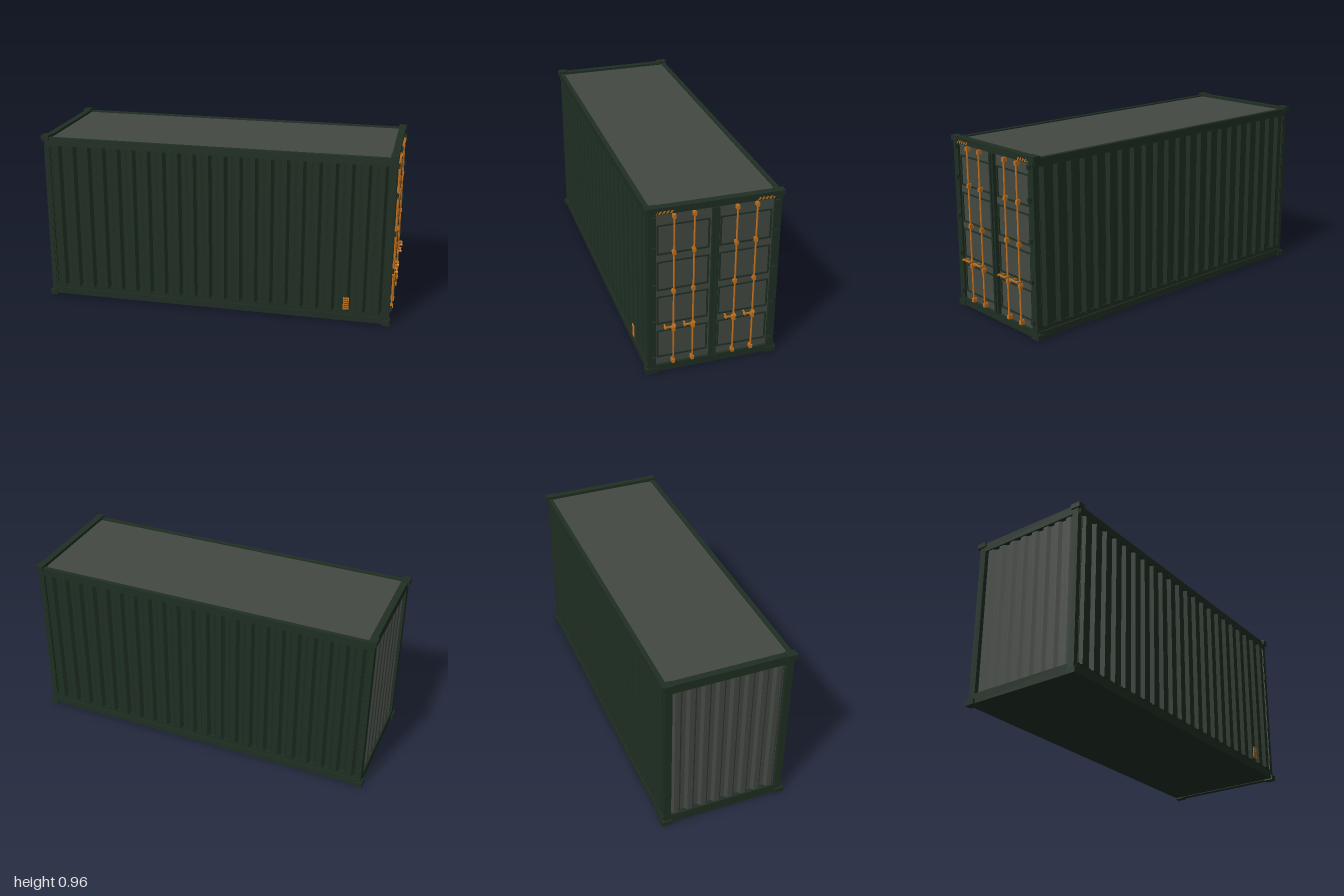
import * as THREE from 'three';

const mat = (name, color) => {
  const m = new THREE.MeshStandardMaterial({ color });
  m.name = name;
  return m;
};

export function createModel() {
  const green = mat('dark green paint', 0x1f2e22);
  const grey = mat('grey panel', 0x434842);
  const orange = mat('orange hardware', 0xc4711c);
  const root = new THREE.Group();
  root.name = 'shippingContainer';

  const add = (name, geo, m, parent = root) => {
    const mesh = new THREE.Mesh(geo, m);
    mesh.name = name;
    parent.add(mesh);
    return mesh;
  };
  // box given by its two extreme corners
  const box = (name, m, x0, x1, y0, y1, z0, z1, parent = root) => {
    const mesh = add(name, new THREE.BoxGeometry(x1 - x0, y1 - y0, z1 - z0), m, parent);
    mesh.position.set((x0 + x1) / 2, (y0 + y1) / 2, (z0 + z1) / 2);
    return mesh;
  };

  // trapezoid-corrugated sheet running along x, outer face towards +z
  const corrugated = (length, count, depth, height) => {
    const s = new THREE.Shape();
    const p = length / count, x0 = -length / 2;
    s.moveTo(x0, 0.006);
    s.lineTo(x0, depth);
    for (let i = 0; i < count; i++) {
      const x = x0 + i * p;
      s.lineTo(x + p * 0.14, depth);
      s.lineTo(x + p * 0.32, 0);
      s.lineTo(x + p * 0.68, 0);
      s.lineTo(x + p * 0.86, depth);
    }
    s.lineTo(-x0, depth);
    s.lineTo(-x0, 0.006);
    s.lineTo(-x0, depth + 0.012);
    s.lineTo(x0, depth + 0.012);
    return new THREE.ExtrudeGeometry(s, { depth: height, bevelEnabled: false }).rotateX(-Math.PI / 2)
      .translate(0, 0, depth);
  };

  // floor and roof
  box('floor', green, -0.975, 0.96, 0.008, 0.03, -0.335, 0.335);
  box('roof', grey, -0.965, 0.945, 0.925, 0.941, -0.335, 0.335);

  // side walls, rails and posts
  for (const s of [1, -1]) {
    const wall = add('sideWall', corrugated(1.9, 22, 0.018, 0.84), green);
    wall.position.set(-0.012, 0.065, s * 0.334);
    if (s < 0) wall.rotation.y = Math.PI;
    const z = (a, b) => (s > 0 ? [a, b] : [-b, -a]);
    box('bottomRail', green, -0.98, 0.96, 0.008, 0.045, ...z(0.315, 0.35));
    box('bottomRailLip', green, -0.98, 0.96, 0.04, 0.07, ...z(0.315, 0.342));
    box('topRail', green, -0.98, 0.96, 0.905, 0.948, ...z(0.325, 0.35));
    box('frontPost', green, 0.935, 0.97, 0.02, 0.94, ...z(0.304, 0.343));
    box('rearPost', green, -0.99, -0.955, 0.02, 0.94, ...z(0.304, 0.343));
    for (const [x0, x1] of [[-1, -0.957], [0.933, 0.975]]) {
      box('cornerCasting', green, x0, x1, 0, 0.03, ...z(0.3, 0.357));
      box('cornerCasting', green, x0, x1, 0.932, 0.96, ...z(0.3, 0.357));
    }
    // door hinges
    for (const y of [0.09, 0.31, 0.523, 0.737, 0.902])
      box('hinge', green, 0.965, 0.982, y - 0.012, y + 0.012, ...z(0.307, 0.326));
  }

  // closed end wall with its frame
  const end = add('endWall', corrugated(0.62, 8, 0.016, 0.86), grey);
  end.rotation.y = -Math.PI / 2;
  end.position.set(-0.966, 0.055, 0);
  box('endSill', green, -0.99, -0.955, 0.005, 0.06, -0.31, 0.31);
  box('endHeader', green, -0.99, -0.955, 0.905, 0.955, -0.31, 0.31);

  // door frame
  box('doorSill', green, 0.935, 0.97, 0.005, 0.046, -0.31, 0.31);
  box('doorHeader', green, 0.935, 0.968, 0.92, 0.95, -0.31, 0.31);
  box('doorHeaderCap', green, 0.935, 0.973, 0.94, 0.958, -0.31, 0.31);

  const rows = [[0.088, 0.252], [0.29, 0.455], [0.49, 0.656], [0.695, 0.86]];
  const rodY = [0.06, 0.258, 0.483, 0.705, 0.905];
  for (const s of [1, -1]) {
    const door = new THREE.Group();
    door.name = s > 0 ? 'leftDoor' : 'rightDoor';
    root.add(door);
    const z = (a, b) => (s > 0 ? [a, b] : [-b, -a]);
    box('doorPanel', grey, 0.94, 0.957, 0.04, 0.925, ...z(0, 0.306), door);
    box('doorSeal', green, 0.955, 0.977, 0.046, 0.92, ...z(0.006, 0.018), door);
    box('doorSealBase', green, 0.95, 0.963, 0.046, 0.92, ...z(0, 0.008), door);
    // framed fields
    for (const [y0, y1] of rows) {
      const a = 0.027, b = 0.297, t = 0.008;
      box('panelFrame', green, 0.955, 0.963, y0, y0 + t, ...z(a, b), door);
      box('panelFrame', green, 0.955, 0.963, y1 - t, y1, ...z(a, b), door);
      box('panelFrame', green, 0.955, 0.963, y0 + t, y1 - t, ...z(a, a + t), door);
      box('panelFrame', green, 0.955, 0.963, y0 + t, y1 - t, ...z(b - t, b), door);
      box('panelField', grey, 0.955, 0.959, y0 + 0.016, y1 - 0.012, ...z(a + 0.015, b - 0.013), door);
    }
    // locking rods with brackets and handles
    for (const r of [0.11, 0.213]) {
      const zr = s * r;
      const rod = add('lockingRod', new THREE.CylinderGeometry(0.005, 0.005, 0.87, 12), orange, door);
      rod.position.set(0.974, 0.483, zr);
      for (const y of rodY) {
        box('rodBracket', orange, 0.956, 0.982, y - 0.01, y + 0.01, zr - 0.008, zr + 0.008, door);
        box('rodClamp', orange, 0.956, 0.978, y - 0.013, y + 0.013, zr - 0.005, zr + 0.005, door);
      }
      const y = 0.285;
      box('handleHub', orange, 0.968, 0.995, y - 0.004, y + 0.004, zr - 0.007, zr + 0.005, door);
      box('handleBar', orange, 0.988, 0.996, y - 0.003, y + 0.003, zr - 0.005, zr + 0.05, door);
      box('handleHook', orange, 0.958, 0.992, y - 0.004, y + 0.004, zr + 0.043, zr + 0.049, door);
      const knob = add('handleKnob', new THREE.CylinderGeometry(0.007, 0.007, 0.012, 8), orange, door);
      knob.rotation.z = Math.PI / 2;
      knob.position.set(0.994, y, zr + 0.05);
    }
  }

  // slanted warning stripes on the door header
  const stripe = new THREE.Shape([[0, 0], [0.01, 0], [0.02, 0.016], [0.01, 0.016]]
    .map(([x, y]) => new THREE.Vector2(x, y)));
  const stripeGeo = new THREE.ExtrudeGeometry(stripe, { depth: 0.003, bevelEnabled: false })
    .rotateY(Math.PI / 2);
  for (const start of [0.312, -0.215])
    for (let i = 0; i < 5; i++)
      add('warningStripe', stripeGeo, orange).position.set(0.967, 0.923, start - i * 0.0195);

  // striped plate low on the front wall
  box('platePanel', green, 0.717, 0.749, 0.078, 0.15, 0.352, 0.355);
  for (const x of [0.717, 0.745]) box('plateEdge', orange, x, x + 0.004, 0.078, 0.15, 0.354, 0.358);
  for (let i = 0; i < 6; i++) {
    const y = 0.078 + i * 0.0126;
    box('plateBar', orange, 0.721, 0.745, y, y + 0.008, 0.354, 0.358);
  }

  return root;
}
